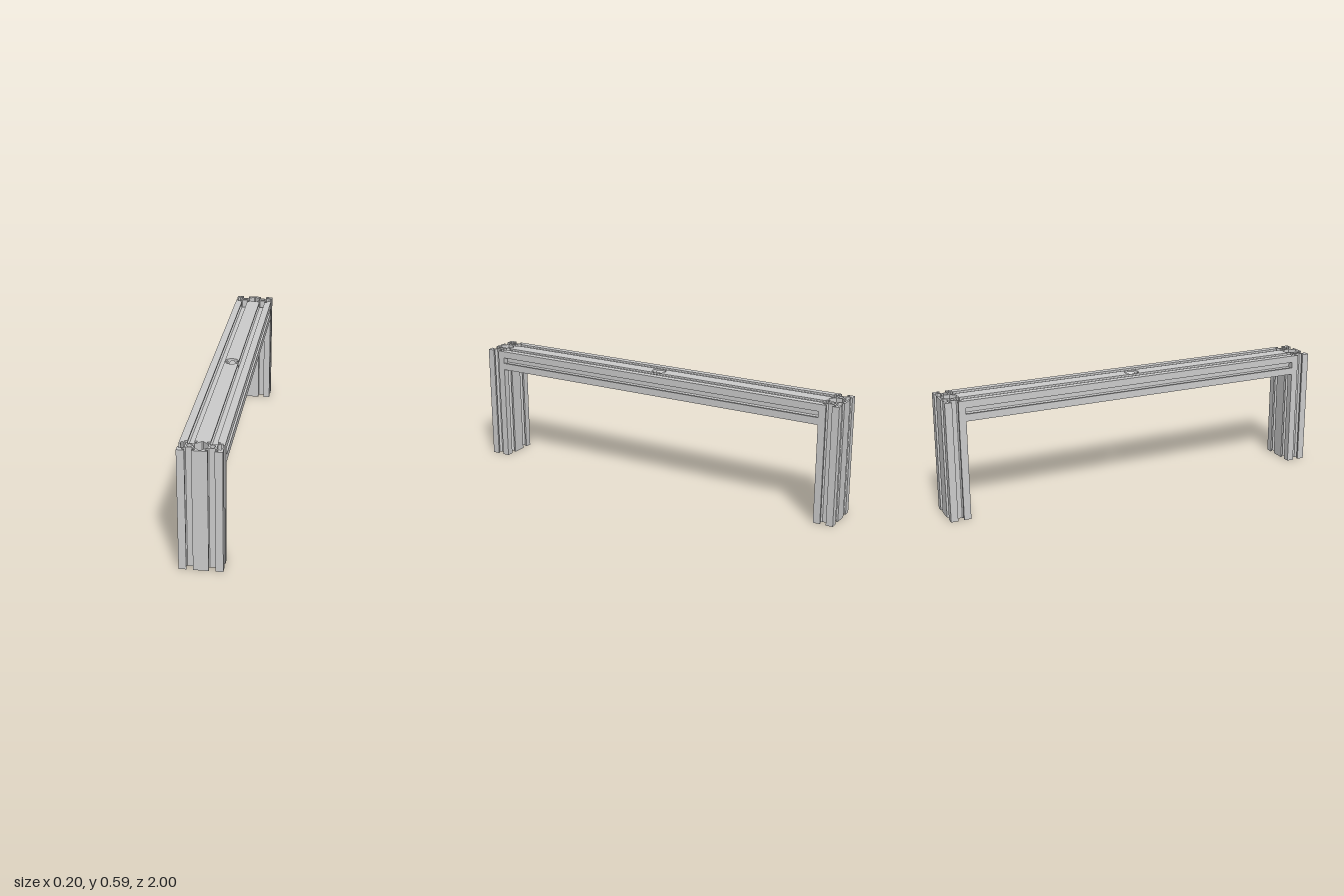
import * as THREE from 'three';
import { toCreasedNormals } from 'three/addons/utils/BufferGeometryUtils.js';

// Profile is drawn in millimetres (20 x 40 slotted extrusion) and scaled at the end
const S = 0.005, HEIGHT = 117.8, HALF = 180, R = 7;
const material = new THREE.MeshStandardMaterial({ color: 0xcccccc });

// One T-slot, facing +x in a 20 mm cell, then turned by quarter turns
function slot(cx, turns) {
  const half = [[10, -3], [8.2, -3], [8.2, -5.5], [6.56, -5.5], [3.9, -2.84]];
  const pts = [...half, ...half.map(([x, y]) => [x, -y]).reverse()];
  const c = Math.round(Math.cos(turns * Math.PI / 2));
  const s = Math.round(Math.sin(turns * Math.PI / 2));
  return pts.map(([x, y]) => [cx + c * x - s * y, s * x + c * y]);
}

// Outer loop (counter-clockwise) and inner loops (clockwise)
function profileLoops() {
  const outer = [
    [20, -10], ...slot(10, 0), [20, 10], ...slot(10, 1), [0, 10], ...slot(-10, 1),
    [-20, 10], ...slot(-10, 2), [-20, -10], ...slot(-10, 3), [0, -10], ...slot(10, 3),
  ];
  const cavity = [
    [0, 8.2], [0.74, 8.2], [6.1, 2.84], [6.1, -2.84], [0.74, -8.2],
    [0, -8.2], [-0.74, -8.2], [-6.1, -2.84], [-6.1, 2.84], [-0.74, 8.2],
  ];
  const bore = (cx) => Array.from({ length: 24 }, (_, i) => {
    const a = -i * Math.PI / 12;
    return [cx + 2.5 * Math.cos(a), 2.5 * Math.sin(a)];
  });
  return [outer, cavity, bore(10), bore(-10)];
}

function profileShape() {
  const [outer, ...holes] = profileLoops().map((l) => l.map(([x, y]) => new THREE.Vector2(x, y)));
  const shape = new THREE.Shape(outer);
  shape.holes = holes.map((h) => new THREE.Path(h));
  return shape;
}

// Beam: the profile swept along z, trimmed by a vertical round hole at its middle
function beamGeometry() {
  const pos = [];
  const quad = (a, b, c, d, flip) => {
    const order = flip ? [a, c, b, a, d, c] : [a, b, c, a, c, d];
    order.forEach((p) => pos.push(...p));
  };

  // Stations around the hole, including those where the profile has corners
  const angles = Array.from({ length: 33 }, (_, i) => (i / 32 - 0.5) * Math.PI);
  [0.74, 4.5, 6.1].forEach((x) => angles.push(Math.acos(x / R), -Math.acos(x / R)));
  angles.sort((a, b) => a - b);
  const stations = angles.map((a) => ({ z: R * Math.sin(a), h: R * Math.cos(a) }));
  stations.unshift({ z: -HALF, h: 0 });
  stations.push({ z: HALF, h: 0 });

  // Moves a point along its edge until it is outside the hole
  const trim = (p, q, from, { z, h }) => {
    const dx = q[0] - p[0];
    const limit = Math.max(Math.abs(p[0]), Math.abs(q[0]));
    const want = Math.min(Math.max(Math.abs(from[0]), h), limit);
    if (Math.abs(dx) < 1e-6 || want <= Math.abs(from[0])) return [from[0], from[1], z];
    const x = want * Math.sign(p[0] + q[0]);
    return [x, p[1] + (q[1] - p[1]) * (x - p[0]) / dx, z];
  };
  for (const loop of profileLoops()) {
    loop.forEach((p, i) => {
      const q = loop[(i + 1) % loop.length];
      const limit = Math.max(Math.abs(p[0]), Math.abs(q[0]));
      for (let k = 0; k + 1 < stations.length; k++) {
        const a = stations[k], b = stations[k + 1];
        if ((a.h + b.h) / 2 >= limit && a.h + b.h > 1e-6) continue;
        quad(trim(p, q, p, a), trim(p, q, q, a), trim(p, q, q, b), trim(p, q, p, b));
      }
    });
  }

  // Hole wall: cut faces of the outer skin and of the diagonal webs
  for (let k = 1; k + 2 < stations.length; k++) {
    const a = stations[k], b = stations[k + 1], mid = (a.h + b.h) / 2;
    const bands = [[() => 8.2, () => 10]];
    if (mid > 0.74) {
      bands.push([
        mid < 6.1 ? (x) => 8.94 - x : () => 0,
        mid < 4.5 ? () => 8.2 : (x) => 11.06 - x,
      ]);
    }
    for (const [lo, hi] of bands) for (const sx of [1, -1]) for (const sy of [1, -1]) {
      const at = (s, f) => [sx * s.h, sy * f(s.h), s.z];
      quad(at(a, lo), at(b, lo), at(b, hi), at(a, hi), sx * sy < 0);
    }
  }

  // End caps
  for (const end of [1, -1]) {
    const cap = new THREE.ShapeGeometry(profileShape());
    if (end < 0) cap.rotateY(Math.PI);
    cap.translate(0, 0, end * HALF);
    pos.push(...cap.toNonIndexed().attributes.position.array);
  }

  const geo = new THREE.BufferGeometry();
  geo.setAttribute('position', new THREE.Float32BufferAttribute(pos, 3));
  geo.computeVertexNormals();
  return toCreasedNormals(geo, 0.5);
}

function addPart(group, name, geo) {
  const mesh = new THREE.Mesh(geo.scale(S, S, S), material);
  mesh.name = name;
  group.add(mesh);
}

export function createModel() {
  const group = new THREE.Group();
  group.name = 'extrusionFrame';

  // Upright legs, one at each end
  for (const [name, side] of [['frontLeg', 1], ['backLeg', -1]]) {
    const leg = new THREE.ExtrudeGeometry(profileShape(), { depth: HEIGHT, bevelEnabled: false });
    leg.rotateX(-Math.PI / 2).translate(0, 0, side * (HALF + 10));
    addPart(group, name, toCreasedNormals(leg, 0.5));
  }

  // Horizontal beam, flush with the leg tops
  addPart(group, 'crossBeam', beamGeometry().translate(0, HEIGHT - 10, 0));
  return group;
}
